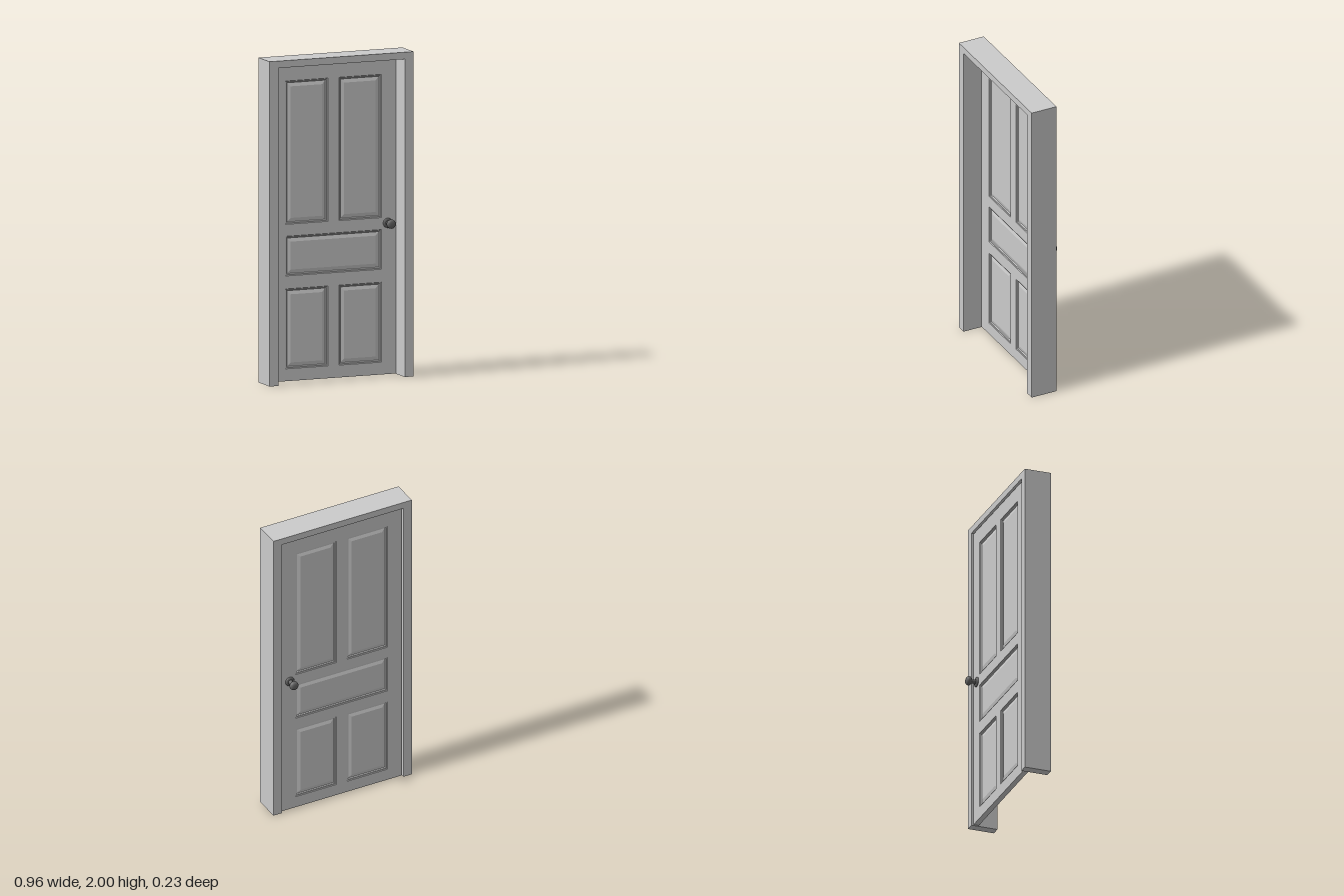
import * as THREE from 'three';

const paint = new THREE.MeshStandardMaterial({ color: 0xcbcbcb });
paint.name = 'grey paint';
const metal = new THREE.MeshStandardMaterial({ color: 0x646464 });
metal.name = 'dark metal';

const FRAME = { w: 0.478, h: 2, back: -0.057, depth: 0.17 };
const OPENING = { w: 0.419, h: 1.957 };
const DOOR = { w: 0.415, bottom: 0.004, top: 1.952, z: -0.027, half: 0.017 };

// Panel rectangles: [x0, y0, x1, y1]
const PANELS = [
  [-0.318, 0.97, -0.037, 1.852],
  [0.037, 0.97, 0.318, 1.852],
  [-0.318, 0.652, 0.318, 0.896],
  [-0.318, 0.08, -0.037, 0.572],
  [0.037, 0.08, 0.318, 0.572],
];

// Moulding section from the panel edge inwards: [inset, height]
const MOULDING = [[0, 0], [0.003, -0.004], [0.009, -0.005], [0.013, -0.011], [0.016, -0.011], [0.036, -0.006]];

function polygon(points, Type = THREE.Shape) {
  return new Type(points.map(([x, y]) => new THREE.Vector2(x, y)));
}

function corners([x0, y0, x1, y1], inset = 0) {
  return [
    [x0 + inset, y0 + inset], [x1 - inset, y0 + inset],
    [x1 - inset, y1 - inset], [x0 + inset, y1 - inset],
  ];
}

function addMesh(parent, name, geometry, material) {
  const mesh = new THREE.Mesh(geometry, material);
  mesh.name = name;
  parent.add(mesh);
  return mesh;
}

// Sunken moulding and raised field, as nested rectangular loops facing +z
function panelGeometry(rect) {
  const loops = MOULDING.map(([inset, z]) => corners(rect, inset).map(([x, y]) => [x, y, z]));
  const positions = [];
  const quad = (a, b, c, d) => positions.push(...a, ...b, ...c, ...a, ...c, ...d);
  for (let i = 0; i < loops.length - 1; i++) {
    for (let k = 0; k < 4; k++) {
      const n = (k + 1) % 4;
      quad(loops[i][k], loops[i][n], loops[i + 1][n], loops[i + 1][k]);
    }
  }
  quad(...loops[loops.length - 1]);
  const geometry = new THREE.BufferGeometry();
  geometry.setAttribute('position', new THREE.Float32BufferAttribute(positions, 3));
  geometry.computeVertexNormals();
  return geometry;
}

// Rosette, stem and rounded knob, turned around the z axis
function makeKnob(name) {
  const knob = new THREE.Group();
  knob.name = name;
  const turn = (part, profile) => {
    const geometry = new THREE.LatheGeometry(profile.map(([r, y]) => new THREE.Vector2(r, y)), 32);
    geometry.rotateX(Math.PI / 2);
    addMesh(knob, part, geometry, metal);
  };
  turn('rosette', [[0.03, 0], [0.03, 0.005], [0.027, 0.009], [0.02, 0.011], [0, 0.011]]);
  turn('stem', [[0.016, 0.01], [0.0145, 0.016], [0.012, 0.026], [0.0125, 0.034], [0.017, 0.042]]);
  turn('knobHead', [
    [0, 0.039], [0.015, 0.039], [0.022, 0.041], [0.027, 0.046], [0.0285, 0.053],
    [0.0275, 0.061], [0.024, 0.067], [0.017, 0.0705], [0.008, 0.0715], [0, 0.0715],
  ]);
  return knob;
}

export function createModel() {
  const model = new THREE.Group();
  model.name = 'door with frame';

  // Door frame: two jambs and a head, open at the floor
  const frame = new THREE.ExtrudeGeometry(polygon([
    [-FRAME.w, 0], [-OPENING.w, 0], [-OPENING.w, OPENING.h], [OPENING.w, OPENING.h],
    [OPENING.w, 0], [FRAME.w, 0], [FRAME.w, FRAME.h], [-FRAME.w, FRAME.h],
  ]), { depth: FRAME.depth, bevelEnabled: false });
  frame.translate(0, 0, FRAME.back);
  addMesh(model, 'doorFrame', frame, paint);

  // Door leaf, pierced where the panels sit
  const door = new THREE.Group();
  door.name = 'door';
  door.position.z = DOOR.z;
  model.add(door);
  const leafShape = polygon(corners([-DOOR.w, DOOR.bottom, DOOR.w, DOOR.top]));
  for (const rect of PANELS) leafShape.holes.push(polygon(corners(rect).reverse(), THREE.Path));
  const leaf = new THREE.ExtrudeGeometry(leafShape, { depth: DOOR.half * 2, bevelEnabled: false });
  leaf.translate(0, 0, -DOOR.half);
  addMesh(door, 'doorLeaf', leaf, paint);

  // Panels and a knob on each face
  for (const [side, sign] of [['front', 1], ['back', -1]]) {
    const face = new THREE.Group();
    face.name = side + 'Face';
    face.position.z = sign * DOOR.half;
    face.rotation.y = sign > 0 ? 0 : Math.PI;
    PANELS.forEach((rect, i) => addMesh(face, `${side}Panel${i + 1}`, panelGeometry(rect), paint));
    const knob = makeKnob(side + 'Knob');
    knob.position.set(sign * 0.359, 0.935, 0);
    face.add(knob);
    door.add(face);
  }

  return model;
}
